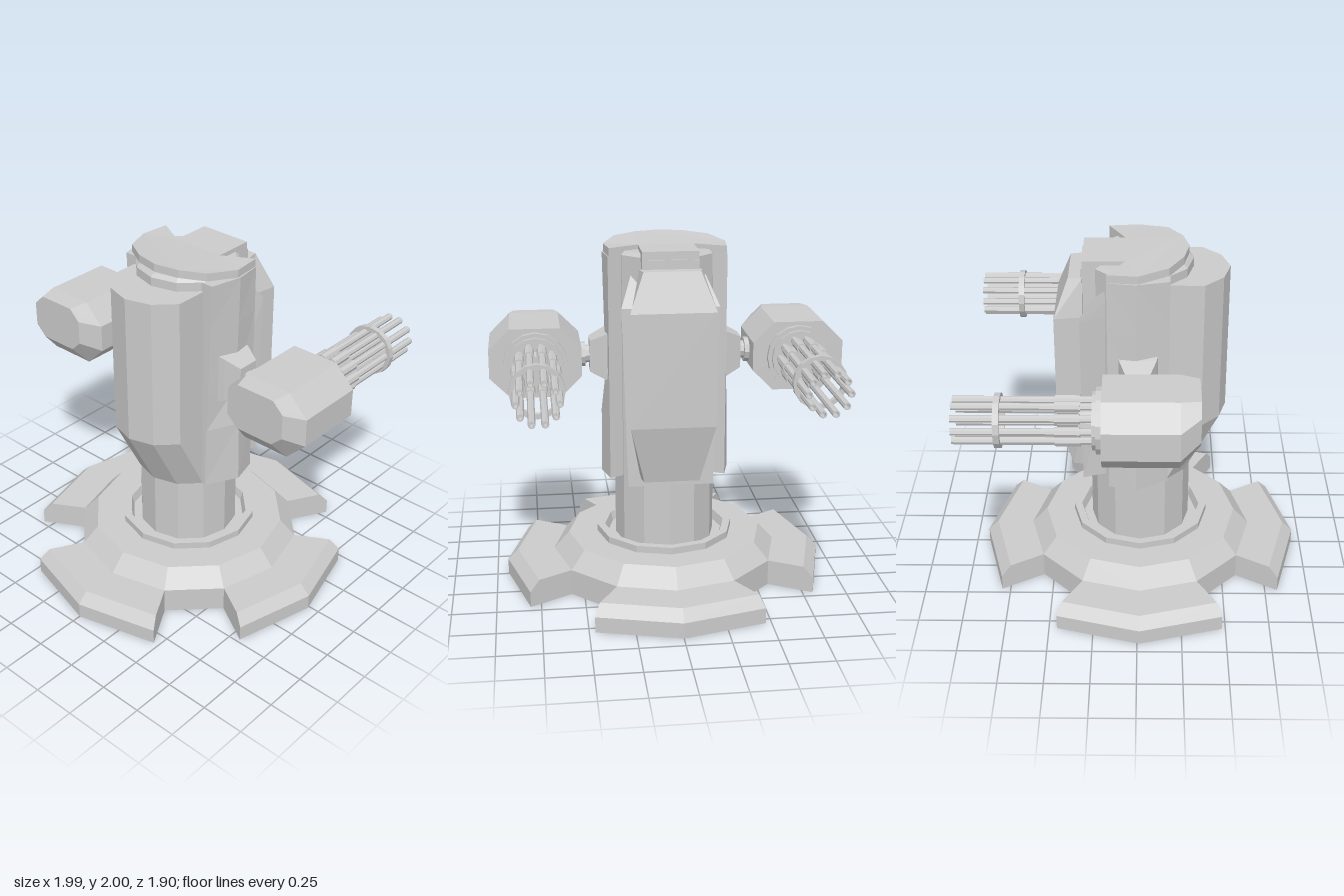
import * as THREE from 'three';

const grey = new THREE.MeshStandardMaterial({ color: 0xcccccc, flatShading: true, side: THREE.DoubleSide });
const CZ = 0.012; // z of the base axis

function add(parent, name, geometry) {
  const mesh = new THREE.Mesh(geometry, grey);
  mesh.name = name;
  parent.add(mesh);
  return mesh;
}

// Skins a solid through equal-length closed loops of [x, y, z], capped at both ends and facing outwards.
function loft(loops) {
  const tris = [], n = loops[0].length;
  const mid = (l) => [0, 1, 2].map((k) => l.reduce((s, p) => s + p[k], 0) / n);
  for (let i = 0; i + 1 < loops.length; i++) {
    const a = loops[i], b = loops[i + 1];
    for (let j = 0; j < n; j++) {
      const k = (j + 1) % n;
      tris.push([a[j], a[k], b[k]], [a[j], b[k], b[j]]);
    }
  }
  const first = loops[0], last = loops[loops.length - 1];
  for (let j = 0; j < n; j++) {
    const k = (j + 1) % n;
    tris.push([mid(first), first[k], first[j]], [mid(last), last[j], last[k]]);
  }
  const volume = tris.reduce((s, t) => {
    const [a, b, c] = t.map((p) => new THREE.Vector3(...p));
    return s + a.dot(b.cross(c));
  }, 0);
  if (volume < 0) tris.forEach((t) => t.reverse());
  const g = new THREE.BufferGeometry();
  g.setAttribute('position', new THREE.Float32BufferAttribute(tris.flat(2), 3));
  g.computeVertexNormals();
  return g;
}

const lathe = (pts, sides) => new THREE.LatheGeometry(pts.map((p) => new THREE.Vector2(...p)), sides);
// Mirrors half a plan outline [x, z] across x = 0.
const mirror = (half) => [...half, ...half.filter((p) => p[0] !== 0).map(([x, z]) => [-x, z]).reverse()];
const level = (y, plan) => plan.map(([x, z]) => [x, y, z]);

function buildBase(root) {
  const base = new THREE.Group();
  base.name = 'base';
  base.position.z = CZ;
  root.add(base);
  add(base, 'basePlate', lathe([[0, 0], [0.66, 0], [0.66, 0.15], [0.57, 0.25], [0.4, 0.25], [0.4, 0.29],
    [0.355, 0.29], [0.34, 0.24], [0.28, 0.24]], 12));
  add(base, 'neck', lathe([[0.29, 0.2], [0.29, 1.93], [0.27, 1.95], [0, 1.95]], 12));
  // four feet, each a bent wedge spanning 60 degrees
  const profile = [[0.6, 0], [0.935, 0], [0.935, 0.09], [0.875, 0.15], [0.6, 0.15]];
  for (let i = 0; i < 4; i++) {
    const loops = [-1, 0, 1].map((k) => {
      const a = k * Math.PI / 6;
      return profile.map(([r, y]) => [r * Math.sin(a), y, r * Math.cos(a)]);
    });
    add(base, 'foot', loft(loops)).rotation.y = i * Math.PI / 2;
  }
}

function buildTorso(root) {
  const torso = new THREE.Group();
  torso.name = 'torso';
  root.add(torso);

  // front plate, sloping back to the neck at the bottom
  const plate = (dz) => mirror([[0, 0.503 + dz], [0.145, 0.46 + dz], [0.25, 0.355 + dz], [0.25, 0.13]]);
  add(torso, 'frontArmor', loft([level(0.645, plate(-0.19)), level(1.01, plate(0)), level(1.88, plate(0))]));

  // side shells and shoulder mounts
  for (const s of [1, -1]) {
    const shell = [[0.645, 0.37, 0.27], [1.02, 0.365, 0.28], [1.25, 0.338, 0.29], [1.67, 0.347, 0.3], [1.93, 0.352, 0.31]];
    add(torso, 'sideShell', loft(shell.map(([y, out, front]) =>
      level(y, [[0.18, 0.17], [front, 0.17], [out, -0.01], [0.33, -0.165], [0.15, -0.07]].map(([x, z]) => [s * x, z])))));
    const face = (x, h, d) => [[s * x, 1.345 - h, -d], [s * x, 1.345 + h, -d], [s * x, 1.345 + h, d], [s * x, 1.345 - h, d]];
    add(torso, 'shoulderMount', loft([face(0.29, 0.15, 0.115), face(0.345, 0.13, 0.1), face(0.43, 0.09, 0.065)]));
    const joint = add(torso, 'shoulderJoint', lathe([[0, 0.42], [0.05, 0.42], [0.05, 0.455], [0.07, 0.455], [0.07, 0.5], [0, 0.5]], 10));
    joint.rotation.z = -s * Math.PI / 2;
    joint.position.y = 1.345;
  }

  // spine behind the shells, flared towards the back plate
  const flare = (x, z) => mirror([[0.15, -0.05], [x, z]]);
  add(torso, 'spine', loft([level(0.645, flare(0.24, -0.315)), level(1.67, flare(0.27, -0.315)), level(1.84, flare(0.2, -0.165))]));
  add(torso, 'spineCore', loft([0.7, 1.93].map((y) => level(y, mirror([[0.155, -0.05], [0.155, -0.31]])))));
  const back = [[0.69, 0.17, 0.155, -0.375], [1.03, 0.21, 0.235, -0.455], [1.67, 0.21, 0.235, -0.455], [1.88, 0.17, 0.155, -0.375]];
  add(torso, 'backPlate', loft(back.map(([y, inner, outer, z]) => level(y, mirror([[inner, -0.3], [outer, z]])))));

  // top cap: rounded front, narrow tab at the back, front edge raised
  const plan = mirror([[0, 0.277], [0.14, 0.245], [0.27, 0.165], [0.343, 0], [0.325, -0.165], [0.155, -0.07], [0.155, -0.3]]);
  const cap = new THREE.ExtrudeGeometry(new THREE.Shape(plan.map((p) => new THREE.Vector2(...p))), { depth: 0.045, bevelEnabled: false });
  cap.rotateX(Math.PI / 2);
  const pos = cap.attributes.position;
  for (let i = 0; i < pos.count; i++) pos.setY(i, pos.getY(i) + 1.975 + 0.09 * Math.max(0, pos.getZ(i)));
  cap.computeVertexNormals();
  add(torso, 'topCap', cap);
}

function buildGun(root, s) {
  const gun = new THREE.Group();
  gun.name = s > 0 ? 'leftGun' : 'rightGun';
  gun.position.set(s * 0.738, 1.345, 0);
  root.add(gun);

  // eight-sided pod with a smaller, raised front face
  const ring = (z, w, wt, h, hs, dy) => [[w, hs], [wt, h], [-wt, h], [-w, hs], [-w, -hs], [-wt, -h], [wt, -h], [w, -hs]]
    .map(([x, y]) => [x, y + dy, z]);
  add(gun, 'pod', loft([ring(-0.18, 0.256, 0.14, 0.196, 0.08, 0), ring(0.22, 0.256, 0.14, 0.196, 0.08, 0),
    ring(0.325, 0.18, 0.115, 0.132, 0.07, 0.055)]));

  // lathed parts are turned to run towards -z
  const turn = (name, pts, sides) => {
    const m = add(gun, name, lathe(pts, sides));
    m.rotation.x = -Math.PI / 2;
    return m;
  };
  turn('collar', [[0.178, 0.17], [0.178, 0.21], [0.155, 0.21], [0.155, 0.23], [0.08, 0.23], [0.07, 0.3], [0, 0.3]], 16);
  turn('barrelBand', [[0.12, 0.7], [0.146, 0.7], [0.146, 0.732], [0.12, 0.732], [0.12, 0.7]], 16);

  // ring of open barrels with thicker sleeves near the pod
  for (let i = 0; i < 10; i++) {
    const a = (i / 10) * Math.PI * 2;
    const barrel = turn('barrel', [[0.02, 0.2], [0.02, 0.29], [0.028, 0.29], [0.028, 0.42], [0.02, 0.42],
      [0.02, 0.95], [0.013, 0.95], [0.013, 0.9], [0, 0.9]], 8);
    barrel.position.set(Math.cos(a) * 0.11, Math.sin(a) * 0.11, 0);
  }
}

export function createModel() {
  const root = new THREE.Group();
  root.name = 'turret';
  buildBase(root);
  buildTorso(root);
  for (const s of [1, -1]) buildGun(root, s);
  return root;
}
